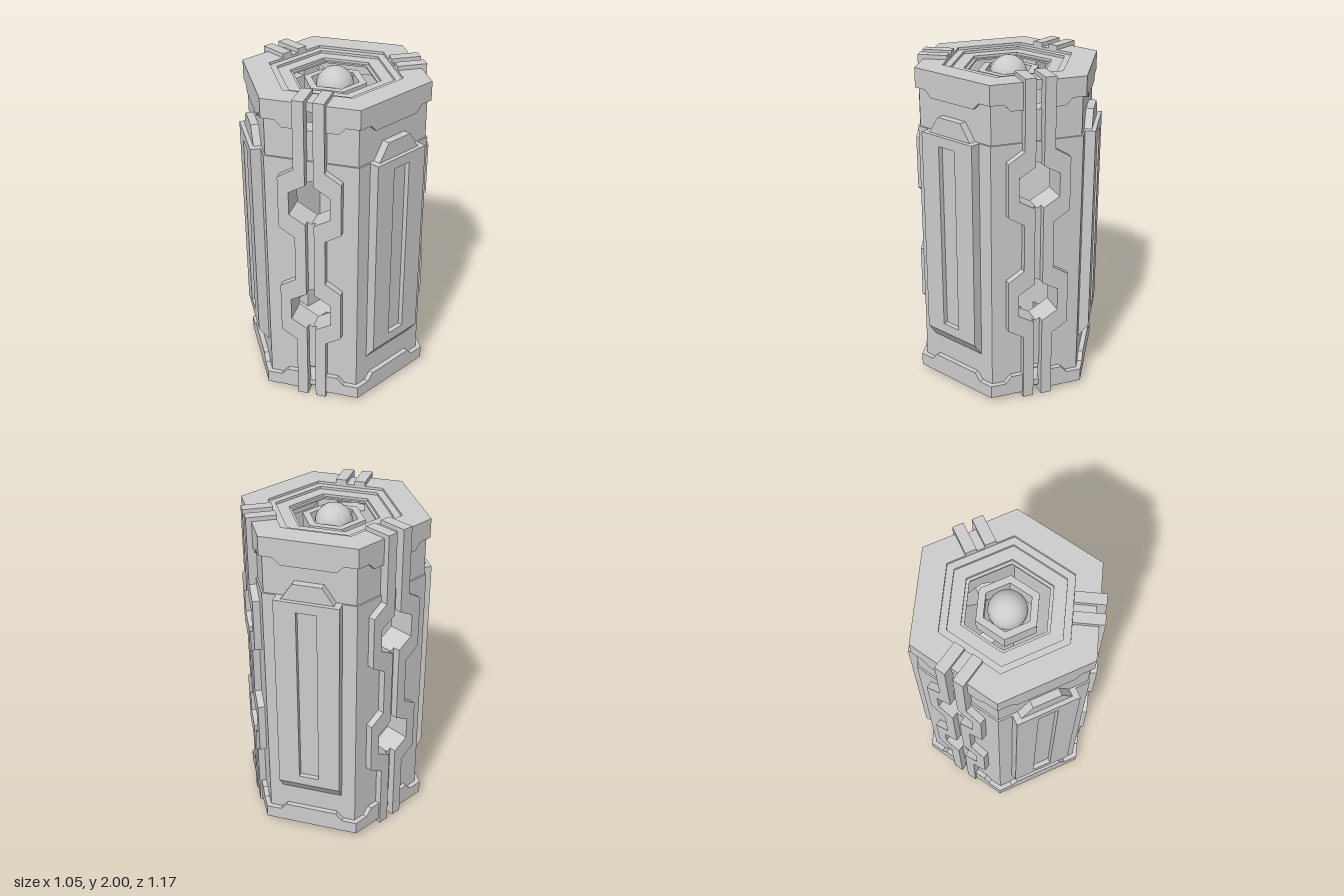
import * as THREE from 'three';

const mat = new THREE.MeshStandardMaterial({ color: 0xcccccc, flatShading: true });
const smoothMat = new THREE.MeshStandardMaterial({ color: 0xcccccc });
const K = Math.tan(Math.PI / 6); // half side of a hexagon per unit of apothem
const HOLES = [0.64, 1.37]; // heights of the hexagonal ports
const HOLE_R = 0.14;

const poly = (pts) => new THREE.Shape(pts.map(([x, y]) => new THREE.Vector2(x, y)));
const rect = (x0, x1, y0, y1) => [[x0, y0], [x1, y0], [x1, y1], [x0, y1]];
const hexPts = (r, cy = 0) => Array.from({ length: 6 }, (_, i) => {
  const a = Math.PI / 6 + i * Math.PI / 3;
  return [r * Math.cos(a), cy + r * Math.sin(a)];
});

// Slab drawn in the plane of a side, filling it between two distances from the axis
function slab(name, pts, inner, outer, holes = []) {
  const shape = poly(pts);
  holes.forEach((h) => shape.holes.push(poly(h)));
  const geo = new THREE.ExtrudeGeometry(shape, { depth: outer - inner, bevelEnabled: false });
  geo.translate(0, 0, inner);
  const mesh = new THREE.Mesh(geo, mat);
  mesh.name = name;
  return mesh;
}

// Flat hexagonal ring with its corners on z
function hexRing(name, rOut, rIn, y0, y1) {
  const mesh = slab(name, hexPts(rOut), 0, y1 - y0, [hexPts(rIn)]);
  mesh.geometry.rotateX(-Math.PI / 2).translate(0, y0, 0);
  return mesh;
}

// Cap band, its free edge dropping to a wider strip in the middle
function capPts(apothem, yEnd, yEdge, yMid, s0) {
  const w = apothem * K;
  const right = [[w, yEnd], [w, yEdge], [0.2, yEdge], [0.16, yMid]];
  if (s0 > 0) return [[s0, yEnd], ...right, [s0, yMid]];
  return [...right, ...right.map(([x, y]) => [-x, y]).reverse()];
}

// One rail: straight bar, widened around each port
function railPts(m) {
  const s = 0.025, e = 0.09, b = 0.185, pts = [[s, 0], [e, 0]];
  for (const c of HOLES) pts.push([e, c - 0.22], [b, c - 0.16], [b, c + 0.16], [e, c + 0.22]);
  pts.push([e, 2], [s, 2]);
  const hw = HOLE_R * Math.cos(Math.PI / 6), top = HOLE_R - s * K;
  for (const c of [...HOLES].reverse()) {
    pts.push([s, c + top], [hw, c + HOLE_R / 2], [hw, c - HOLE_R / 2], [s, c - top]);
  }
  return pts.map(([x, y]) => [x * m, y]);
}

function railSide() {
  const g = new THREE.Group();
  g.name = 'railSide';
  const ports = HOLES.map((c) => hexPts(HOLE_R, c));
  const vent = rect(-0.085, 0.085, 0.08, 0.19);
  const w = 0.475 * K;
  g.add(slab('lowerWall', rect(-w, w, 0.04, 1.63), 0.36, 0.475, [...ports, vent]));
  const u = 0.465 * K;
  g.add(slab('upperWall', rect(-u, u, 1.63, 1.96), 0.36, 0.465, [rect(-0.085, 0.085, 1.81, 1.92)]));
  for (const m of [-1, 1]) {
    g.add(slab('rail', railPts(m), 0.455, 0.517));
    g.add(slab('railTopEnd', rect(m * 0.025, m * 0.09, 1.93, 2), 0.343, 0.46));
    g.add(slab('railBottomEnd', rect(m * 0.025, m * 0.09, 0, 0.07), 0.343, 0.46));
    const flip = ([x, y]) => [m * x, y];
    g.add(slab('topCap', capPts(0.485, 1.975, 1.86, 1.82, 0.087).map(flip), 0.455, 0.485));
    g.add(slab('bottomCap', capPts(0.505, 0.03, 0.11, 0.155, 0.087).map(flip), 0.455, 0.505));
  }
  // Cap decks behind the rails
  g.add(slab('topDeck', rect(-0.265, 0.265, 1.92, 1.975), 0.343, 0.465));
  g.add(slab('bottomDeck', rect(-0.265, 0.265, 0.03, 0.08), 0.343, 0.465));
  return g;
}

function panelSide() {
  const g = new THREE.Group();
  g.name = 'panelSide';
  const w = 0.475 * K, u = 0.465 * K;
  g.add(slab('lowerWall', rect(-w, w, 0.04, 1.63), 0.36, 0.475));
  g.add(slab('upperWall', rect(-u, u, 1.63, 1.96), 0.36, 0.465));
  g.add(slab('topCap', capPts(0.485, 1.975, 1.86, 1.82, 0), 0.343, 0.485));
  g.add(slab('bottomCap', capPts(0.505, 0.03, 0.11, 0.155, 0), 0.343, 0.505));
  g.add(slab('panelTab', [[-0.16, 1.62], [0.16, 1.62], [0.085, 1.73], [-0.085, 1.73]], 0.45, 0.51));

  // Armour plate with a long groove and a sloping foot
  const plate = slab('armourPlate', rect(-0.19, 0.19, 0.28, 1.63), 0.47, 0.535, [rect(-0.06, 0.06, 0.43, 1.57)]);
  const p = plate.geometry.attributes.position;
  for (let i = 0; i < p.count; i++) {
    if (p.getZ(i) > 0.5 && p.getY(i) < 0.3) p.setY(i, 0.37);
  }
  plate.geometry.computeVertexNormals();
  g.add(plate, slab('grooveFloor', rect(-0.07, 0.07, 0.42, 1.58), 0.47, 0.505));
  return g;
}

export function createModel() {
  const model = new THREE.Group();
  model.name = 'hexagonalCanister';
  const body = new THREE.Group();
  body.name = 'body';
  body.position.x = 0.0075;
  model.add(body);

  // Six sides, rails and panels alternating
  for (let i = 0; i < 6; i++) {
    const side = i % 2 ? railSide() : panelSide();
    side.rotation.y = Math.PI / 6 + i * Math.PI / 3;
    body.add(side);
  }

  // Stepped rims around both openings
  const steps = [[0.41, 0.35, 0.015], [0.36, 0.27, 0.03], [0.28, 0.25, 0.045]];
  for (const [rOut, rIn, d] of steps) {
    body.add(hexRing('topRim', rOut, rIn, 1.92, 1.975 - d));
    body.add(hexRing('bottomRim', rOut, rIn, 0.03 + d, 0.085));
  }

  // Core ring and ball in the top opening
  body.add(hexRing('coreRing', 0.187, 0.142, 1.82, 1.92));
  const ball = new THREE.Mesh(new THREE.SphereGeometry(0.11, 16, 12), smoothMat);
  ball.name = 'coreBall';
  ball.position.y = 1.888;
  body.add(ball);
  return model;
}
